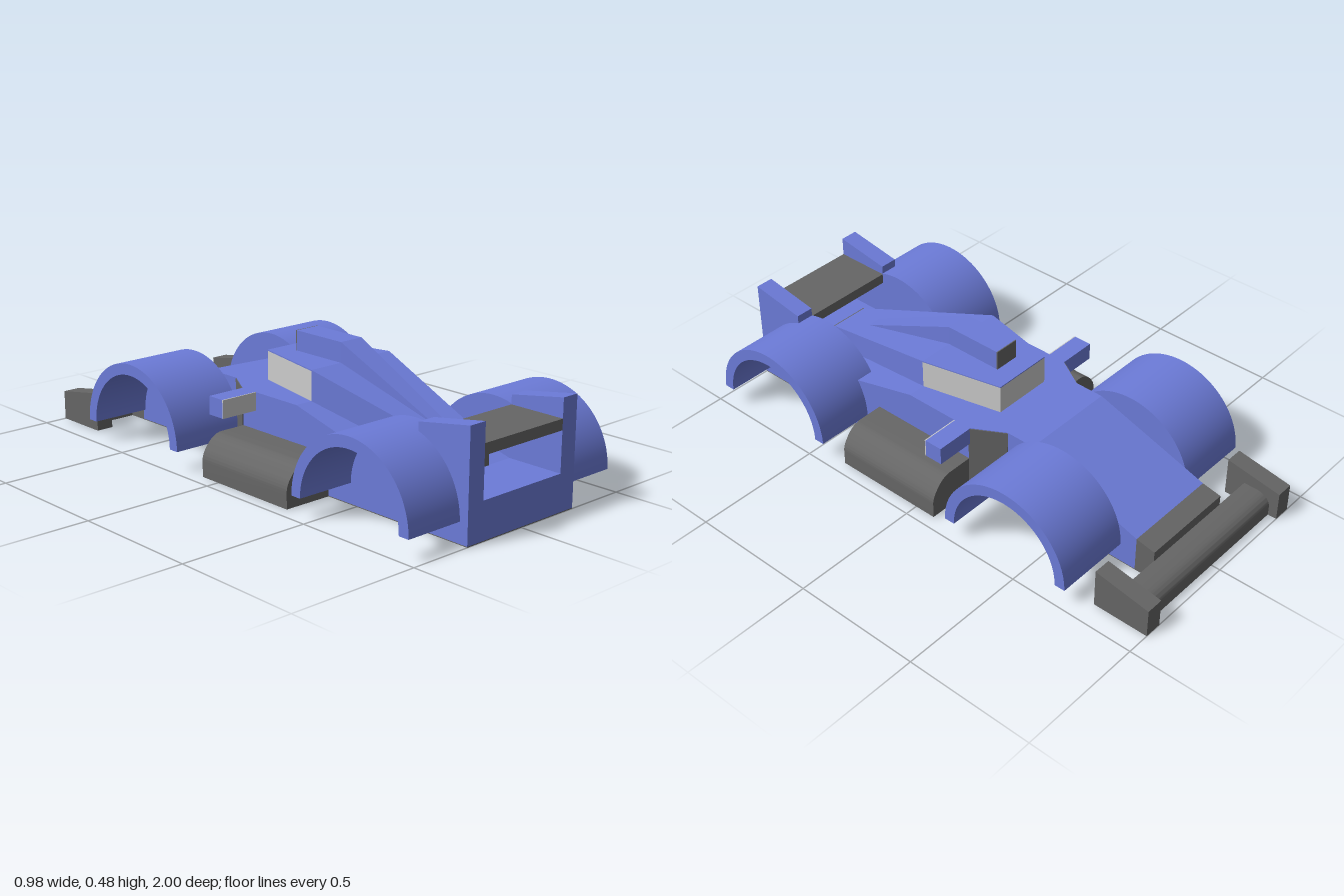
import * as THREE from 'three';
import { toCreasedNormals } from 'three/addons/utils/BufferGeometryUtils.js';

const blue = new THREE.MeshStandardMaterial({ color: 0x6c7bd8 });
const dark = new THREE.MeshStandardMaterial({ color: 0x666666 });
const grey = new THREE.MeshStandardMaterial({ color: 0xcccccc });

// Solid through rectangular sections [z, x0, x1, y0, y1], ordered by rising z.
function loft(sections) {
  const rings = sections.map(([z, x0, x1, y0, y1]) =>
    [[x0, y0, z], [x1, y0, z], [x1, y1, z], [x0, y1, z]]);
  const pos = [];
  const quad = (a, b, c, d) => pos.push(...a, ...b, ...c, ...a, ...c, ...d);
  for (let i = 0; i < rings.length - 1; i++) {
    for (let j = 0; j < 4; j++) {
      const k = (j + 1) % 4;
      quad(rings[i][j], rings[i][k], rings[i + 1][k], rings[i + 1][j]);
    }
  }
  const first = rings[0], last = rings[rings.length - 1];
  quad(first[3], first[2], first[1], first[0]);
  quad(...last);
  const geo = new THREE.BufferGeometry();
  geo.setAttribute('position', new THREE.Float32BufferAttribute(pos, 3));
  geo.computeVertexNormals();
  return geo;
}

// The same solid on the left (s = 1) or the right (s = -1).
const sideLoft = (s, sections) => loft(sections.map(([z, a, b, y0, y1]) =>
  s > 0 ? [z, a, b, y0, y1] : [z, -b, -a, y0, y1]));

// Sections centred on x = 0: [z, half width, y0, y1].
const centreLoft = (sections) => loft(sections.map(([z, w, y0, y1]) => [z, -w, w, y0, y1]));

function extrude(shape, depth) {
  const geo = new THREE.ExtrudeGeometry(shape, { depth, bevelEnabled: false, curveSegments: 24 });
  return toCreasedNormals(geo, 0.6);
}

export function createModel() {
  const car = new THREE.Group();
  car.name = 'raceCar';
  const add = (name, geo, mat) => {
    const mesh = new THREE.Mesh(geo, mat);
    mesh.name = name;
    car.add(mesh);
    return mesh;
  };

  // Hull and floor share one plan outline
  const hull = [
    [-0.78, 0.19, 0.14], [-0.32, 0.19, 0.29], [-0.205, 0.19, 0.29], [-0.085, 0.26, 0.29],
    [0.2, 0.26, 0.29], [0.78, 0.26, 0.14], [1, 0.26, 0.14],
  ];
  add('hull', centreLoft(hull.map(([z, w, y]) => [z, w, 0.003, y])), blue);
  add('floor', centreLoft(hull.map(([z, w]) => [z, w, 0, 0.003])), dark);
  add('noseTip', centreLoft([[-0.856, 0.19, 0, 0.125], [-0.78, 0.19, 0, 0.14]]), dark);

  // Cockpit surround with its lid, and the tapering engine cover behind
  add('cockpit', centreLoft([[-0.11, 0.12, 0.285, 0.398], [0.2, 0.19, 0.285, 0.398]]), grey);
  add('cockpitLid', centreLoft([[-0.11, 0.12, 0.398, 0.402], [0.2, 0.19, 0.398, 0.402]]), blue);
  add('engineCover', centreLoft([[0.2, 0.19, 0.285, 0.402], [0.78, 0.08, 0.135, 0.225]]), blue);
  add('exhaust', centreLoft([[0.78, 0.08, 0.14, 0.225], [0.784, 0.08, 0.14, 0.225]]), dark);

  // Air scoop running down into the engine cover
  add('airScoop', centreLoft([
    [-0.03, 0.05, 0.4, 0.477], [0.2, 0.05, 0.39, 0.477], [0.64, 0.028, 0.25, 0.268],
  ]), blue);
  add('airScoopMouth', centreLoft([[-0.034, 0.05, 0.4, 0.477], [-0.03, 0.05, 0.4, 0.477]]), dark);

  // Wings
  add('rearWing', centreLoft([[0.78, 0.19, 0.29, 0.33], [1, 0.19, 0.29, 0.33]]), dark);
  const bar = new THREE.Shape();
  bar.moveTo(0.855, 0).lineTo(0.965, 0).lineTo(0.965, 0.04);
  bar.quadraticCurveTo(0.96, 0.08, 0.91, 0.085);
  bar.lineTo(0.855, 0.085);
  const frontWing = add('frontWing', extrude(bar, 0.7), dark);
  frontWing.rotation.y = Math.PI / 2;
  frontWing.position.x = -0.35;

  // Wheel arch and inner web profiles
  const arch = new THREE.Shape();
  arch.absarc(0, 0, 0.268, 0, Math.PI, false);
  arch.absarc(0, 0, 0.226, Math.PI, 0, true);
  const web = new THREE.Shape();
  web.absarc(0, 0, 0.228, 0, Math.PI, false);
  const archGeo = extrude(arch, 0.3), webGeo = extrude(web, 0.07);

  for (const s of [1, -1]) {
    const side = s > 0 ? 'left' : 'right';

    for (const [end, z] of [['Front', -0.447], ['Rear', 0.698]]) {
      const a = add(side + end + 'WheelArch', archGeo, blue);
      a.position.set(s > 0 ? 0.19 : -0.49, 0.078, z);
      const w = add(side + end + 'WheelWeb', webGeo, blue);
      w.position.set(s > 0 ? 0.19 : -0.26, 0.078, z);
      a.rotation.y = w.rotation.y = Math.PI / 2;
    }

    add(side + 'RearEndplate', sideLoft(s,
      [[0.78, 0.19, 0.26, 0.13, 0.365], [1, 0.19, 0.26, 0.13, 0.402]]), blue);
    add(side + 'FrontEndplate', sideLoft(s,
      [[-1, 0.343, 0.411, 0, 0.112], [-0.78, 0.343, 0.411, 0, 0.15]]), dark);

    // Intake on the slanted shoulder of the hull
    add(side + 'Intake', sideLoft(s,
      [[-0.207, 0.18, 0.192, 0, 0.288], [-0.086, 0.25, 0.263, 0, 0.288]]), dark);

    // Mirror with a glass on its rearward face
    add(side + 'Mirror', sideLoft(s,
      [[-0.09, 0.25, 0.41, 0.222, 0.29], [-0.019, 0.25, 0.41, 0.222, 0.29]]), blue);
    add(side + 'MirrorGlass', sideLoft(s,
      [[-0.019, 0.26, 0.41, 0.222, 0.29], [-0.015, 0.26, 0.41, 0.222, 0.29]]), grey);

    // Side pod with a rounded outer shoulder
    const pod = new THREE.Shape();
    pod.moveTo(s * 0.25, 0).lineTo(s * 0.45, 0).lineTo(s * 0.45, 0.06);
    pod.quadraticCurveTo(s * 0.45, 0.085, s * 0.43, 0.11);
    pod.quadraticCurveTo(s * 0.4, 0.152, s * 0.36, 0.152);
    pod.lineTo(s * 0.25, 0.152);
    add(side + 'SidePod', extrude(pod, 0.447), dark).position.z = -0.085;
  }
  return car;
}
